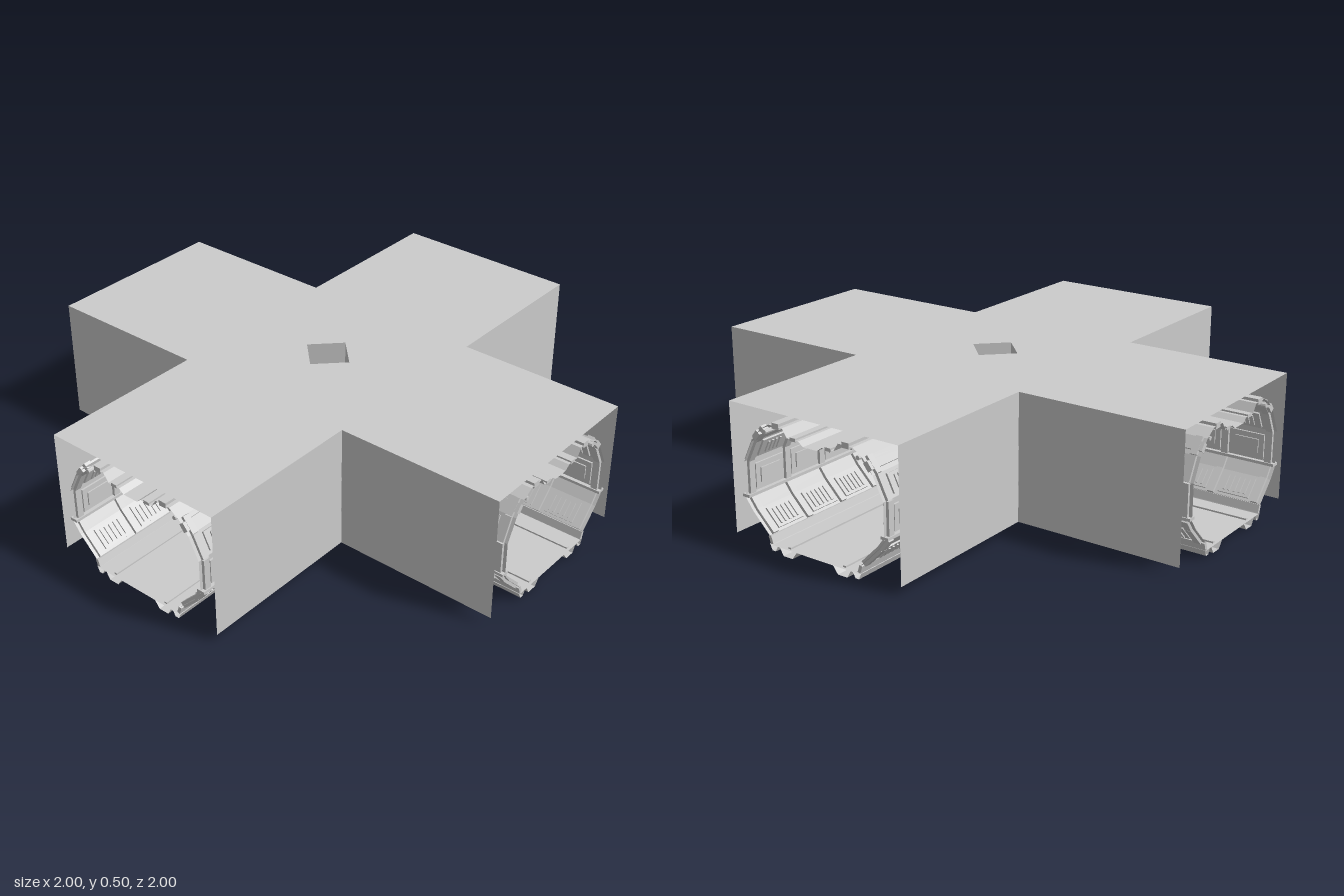
import * as THREE from 'three';

const material = new THREE.MeshStandardMaterial({ color: 0xcccccc, flatShading: true, side: THREE.DoubleSide });
const HALF = 0.36, END = 0.995, TOP = 0.5, FLOOR = 0.027, CHAMFER = 0.1;

// Half cross-section of a corridor: [distance from its middle, height], floor edge to ceiling spine
const profile = [[0.19, 0.03], [0.2, 0.06], [0.27, 0.13], [0.3, 0.17], [0.3, 0.3], [0.26, 0.38],
  [0.22, 0.43], [0.18, 0.455], [0.12, 0.455], [0.1, 0.425], [0.05, 0.425], [0.03, 0.41], [0, 0.41]];
// Half of the opening inside a doorway arch
const opening = [[0.19, 0.03], [0.22, 0.12], [0.22, 0.33], [0.18, 0.38], [0.06, 0.38], [0.03, 0.37], [0, 0.37]];

function add(parent, name, geometry, x = 0, y = 0, z = 0) {
  const mesh = new THREE.Mesh(geometry, material);
  mesh.name = name;
  mesh.position.set(x, y, z);
  parent.add(mesh);
  return mesh;
}

// Sheet through rows of points
function loft(rows) {
  const n = rows[0].length, index = [];
  for (let i = 0; i < rows.length - 1; i++) {
    for (let j = 0; j < n - 1; j++) {
      const a = i * n + j, b = a + n;
      index.push(a, b, a + 1, b, b + 1, a + 1);
    }
  }
  const g = new THREE.BufferGeometry();
  g.setAttribute('position', new THREE.Float32BufferAttribute(rows.flat(2), 3));
  g.setIndex(index);
  const flat = g.toNonIndexed();
  flat.computeVertexNormals();
  return flat;
}

// Cross outline with arms of half-width w and corners cut by c
function crossShape(w, length, c) {
  const pts = [];
  for (let k = 0; k < 4; k++) {
    const corner = c ? [[length, w], [w + c, w], [w, w + c], [w, length]] : [[length, w], [w, w], [w, length]];
    for (const [x, y] of corner) {
      pts.push(new THREE.Vector2(x, y).rotateAround(new THREE.Vector2(), k * Math.PI / 2));
    }
  }
  return new THREE.Shape(pts);
}

// Outer casing: roof with a diamond skylight, and walls around the arms
function buildCasing(group) {
  const roof = crossShape(HALF, END, 0);
  roof.holes.push(new THREE.Path([[CHAMFER, 0], [0, -CHAMFER], [-CHAMFER, 0], [0, CHAMFER]]
    .map(p => new THREE.Vector2(...p))));
  add(group, 'roof', new THREE.ShapeGeometry(roof).rotateX(-Math.PI / 2), 0, TOP, 0);
  const c = CHAMFER;
  const ring = [[c, 0], [0, c], [-c, 0], [0, -c], [c, 0]];
  add(group, 'skylightShaft', loft([0.41, TOP].map(y => ring.map(([x, z]) => [x, y, z]))));
}

// Closed arch between the corridor profile and the doorway opening
function archGeometry(depth) {
  const outline = half => [...half, ...half.slice(0, -1).reverse().map(([x, y]) => [-x, y])];
  const pts = [...outline(profile), ...outline(opening).reverse()].map(p => new THREE.Vector2(...p));
  return new THREE.ExtrudeGeometry(new THREE.Shape(pts), { depth, bevelEnabled: false });
}

// Thin box lying on one segment of the profile, on side s
function panel(arm, name, seg, s, z, length, share, thick, along = 0.5) {
  const [x0, y0] = profile[seg], [x1, y1] = profile[seg + 1];
  const width = Math.hypot(x1 - x0, y1 - y0) * share;
  const mesh = add(arm, name, new THREE.BoxGeometry(width, thick, length),
    s * (x0 + (x1 - x0) * along), y0 + (y1 - y0) * along, z);
  mesh.rotation.z = Math.atan2(y1 - y0, s * (x1 - x0));
  return mesh;
}

// One arm running along +z
function buildArm() {
  const arm = new THREE.Group();
  arm.name = 'corridorArm';
  add(arm, 'doorwayArch', archGeometry(0.04), 0, 0, 0.41);

  for (const s of [-1, 1]) {
    const wallLength = END - HALF;
    add(arm, 'outerWall', new THREE.PlaneGeometry(wallLength, TOP - FLOOR).rotateY(Math.PI / 2),
      s * HALF, (TOP + FLOOR) / 2, (END + HALF) / 2);

    // Hollow rails and edge channels under the floor
    const rails = [[[0.08, FLOOR], [0.1, 0], [0.14, 0], [0.155, FLOOR]],
      [[0.165, FLOOR], [0.175, 0.008], [0.19, 0.008], [0.2, 0.03]]];
    for (const rail of rails) {
      add(arm, 'floorRail', loft([0.37, 1].map(z => rail.map(([x, y]) => [s * x, y, z]))));
    }

    // Framed vents on the lower slope and lamps on the upper slope
    for (let i = 0; i < 3; i++) {
      const z = 0.55 + i * 0.17;
      panel(arm, 'ventFrame', 1, s, z, 0.12, 0.8, 0.012);
      for (let k = 0; k < 5; k++) panel(arm, 'ventSlat', 1, s, z - 0.04 + k * 0.02, 0.008, 0.6, 0.022);
      panel(arm, 'wallPanel', 3, s, z, 0.13, 0.7, 0.014);
      panel(arm, 'wallInset', 3, s, z, 0.09, 0.4, 0.024);
      panel(arm, 'ceilingHatch', 4, s, z, 0.11, 0.75, 0.014);
      for (let k = 0; k < 4; k++) panel(arm, 'hatchSlat', 4, s, z - 0.027 + k * 0.018, 0.008, 0.5, 0.024);
    }

    // Ribs dividing the wall into bays
    for (const z of [0.465, 0.635, 0.805, 0.975]) {
      for (const seg of [1, 2, 3, 4, 5]) panel(arm, 'wallRib', seg, s, z, 0.025, 1, 0.022);
    }

    // Long trims: skirting, handrail, pipes and ceiling beams
    const run = 0.55, mid = 0.725;
    panel(arm, 'skirting', 0, s, mid, run, 0.9, 0.012);
    panel(arm, 'handrail', 3, s, mid, run, 0.08, 0.03, 0.06);
    panel(arm, 'cornice', 5, s, mid, run, 0.5, 0.02);
    panel(arm, 'ceilingBeam', 7, s, mid, run, 0.5, 0.02);
    panel(arm, 'spineTrim', 9, s, mid, run, 0.5, 0.012);
    add(arm, 'ceilingPipe', new THREE.CylinderGeometry(0.008, 0.008, run, 8).rotateX(Math.PI / 2),
      s * 0.2, 0.425, mid);
    add(arm, 'floorSeam', new THREE.BoxGeometry(0.012, 0.006, 0.6), s * 0.12, 0.03, 0.69);
  }
  return arm;
}

// Ceiling and wall sheet of one quadrant, cut diagonally at the crossing
function quadrantGeometry() {
  return loft(profile.map(([w, y]) => [[w, y, 1], [w, y, w + CHAMFER], [w + CHAMFER, y, w], [1, y, w]]));
}

export function createModel() {
  const model = new THREE.Group();
  model.name = 'corridorCrossing';
  buildCasing(model);

  // Floor plate and the slim ring in its middle
  add(model, 'floor', new THREE.ShapeGeometry(crossShape(0.19, 1, CHAMFER)).rotateX(-Math.PI / 2), 0, FLOOR, 0);
  add(model, 'floorRing', new THREE.RingGeometry(0.06, 0.085, 8).rotateX(-Math.PI / 2), 0, FLOOR + 0.004, 0);

  const sheet = quadrantGeometry();
  for (let k = 0; k < 4; k++) {
    const turn = k * Math.PI / 2;
    const arm = buildArm();
    arm.rotation.y = turn;
    model.add(arm);
    add(model, 'corridorLining', sheet).rotation.y = turn;

    // Column and bands in the cut corner
    const corner = new THREE.Group();
    corner.name = 'cornerColumn';
    corner.rotation.y = turn + Math.PI / 4;
    const face = w => (2 * w + CHAMFER) / Math.SQRT2;
    add(corner, 'cornerPanel', new THREE.BoxGeometry(0.08, 0.12, 0.02), 0, 0.235, face(0.3));
    for (const y of [0.17, 0.3]) add(corner, 'cornerBand', new THREE.BoxGeometry(0.13, 0.014, 0.03), 0, y, face(0.3));
    model.add(corner);
  }
  return model;
}
